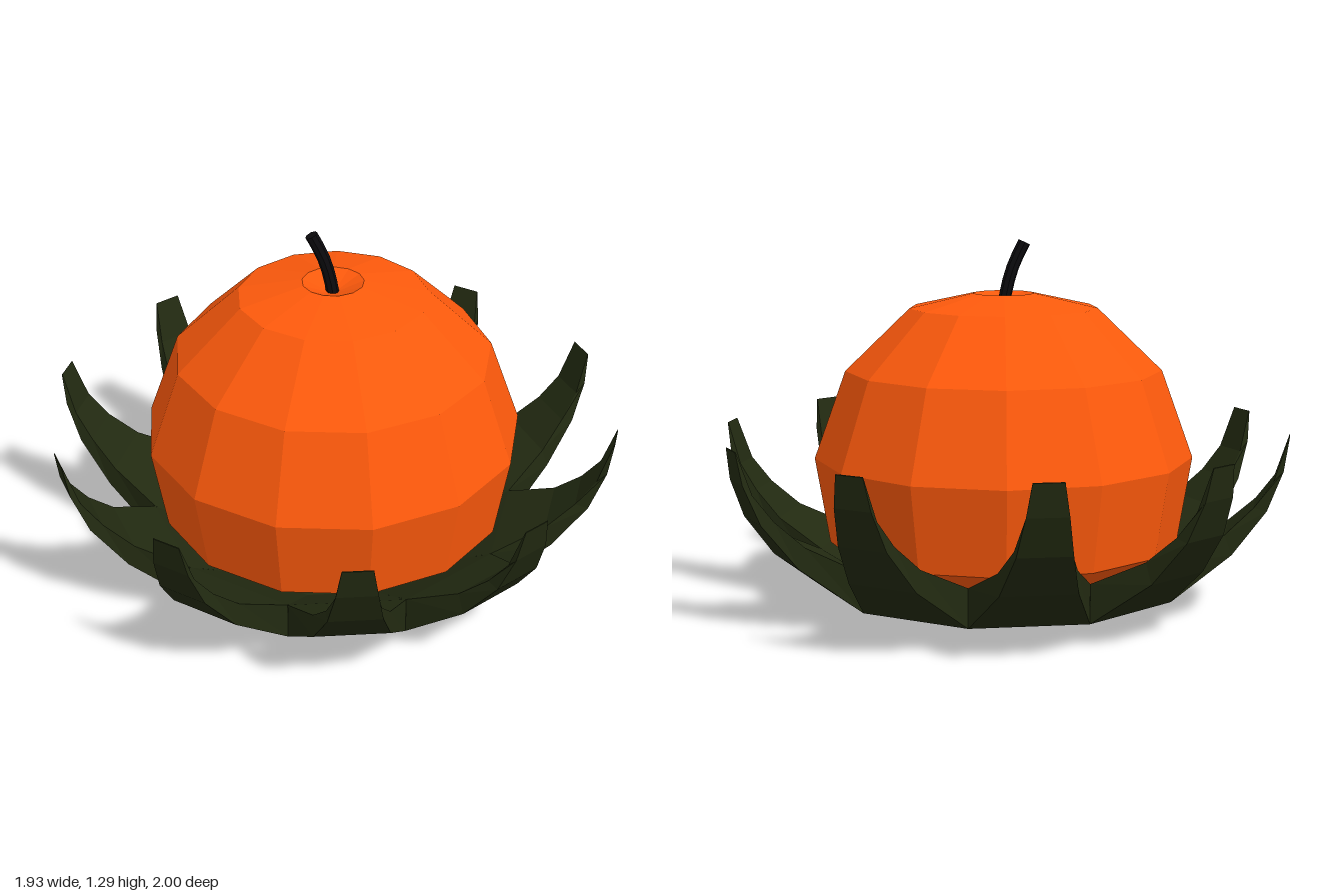
import * as THREE from 'three';

const material = (color) => new THREE.MeshStandardMaterial({
  color, flatShading: true, side: THREE.DoubleSide, roughness: 0.9,
});

// One sector of the leaf cup plus its curled leaf, pointing to +z.
// Each section: [halfWidth, outerZ, outerY, innerZ, innerY]
function leafGeometry() {
  const sections = [
    [0, 0, 0, 0, 0.04],
    [0.119, 0.366, 0, 0.366, 0.05],
    [0.2, 0.616, 0.07, 0.616, 0.205],
    [0.127, 0.815, 0.225, 0.79, 0.295],
    [0.09, 0.93, 0.375, 0.885, 0.385],
    [0.068, 0.983, 0.51, 0.95, 0.475],
    [0.05, 1, 0.62, 0.998, 0.622],
  ].map(([h, oz, oy, iz, iy]) => [[-h, oy, oz], [h, oy, oz], [h, iy, iz], [-h, iy, iz]]);

  const positions = [];
  const quad = (a, b, c, d) => positions.push(...a, ...b, ...c, ...a, ...c, ...d);
  for (let i = 0; i < sections.length - 1; i++) {
    const [p, q] = [sections[i], sections[i + 1]];
    for (let j = 0; j < 4; j++) {
      if (i < 2 && j % 2 === 1) continue; // sectors join here, so no side walls
      const k = (j + 1) % 4;
      quad(p[j], p[k], q[k], q[j]);
    }
  }
  quad(...sections[sections.length - 1]); // tip

  const geometry = new THREE.BufferGeometry();
  geometry.setAttribute('position', new THREE.Float32BufferAttribute(positions, 3));
  geometry.computeVertexNormals();
  return geometry;
}

export function createModel() {
  const model = new THREE.Group();
  model.name = 'pumpkinInLeaves';

  // Faceted fruit with a dimple at the top
  const profile = [
    [0, 0.06], [0.38, 0.08], [0.615, 0.23], [0.665, 0.53],
    [0.555, 0.835], [0.33, 1.05], [0.107, 1.1], [0, 1.055],
  ].map(([r, y]) => new THREE.Vector2(r, y));
  const fruit = new THREE.Mesh(
    new THREE.LatheGeometry(profile, 13, Math.PI / 2), material(0xff5a0c));
  fruit.name = 'fruit';
  model.add(fruit);

  // Bent stem with a capped end
  const stem = new THREE.Group();
  stem.name = 'stem';
  const stemMaterial = material(0x0c0b0e);
  const curve = new THREE.CatmullRomCurve3([
    new THREE.Vector3(0, 1.05, 0),
    new THREE.Vector3(-0.012, 1.12, 0),
    new THREE.Vector3(-0.036, 1.2, 0),
    new THREE.Vector3(-0.073, 1.277, 0),
  ]);
  const stalk = new THREE.Mesh(new THREE.TubeGeometry(curve, 5, 0.022, 8), stemMaterial);
  stalk.name = 'stalk';
  const cap = new THREE.Mesh(new THREE.CircleGeometry(0.022, 8), stemMaterial);
  cap.name = 'stemEnd';
  cap.position.copy(curve.getPoint(1));
  cap.lookAt(curve.getPoint(1).add(curve.getTangent(1)));
  stem.add(stalk, cap);
  model.add(stem);

  // Ring of ten leaves whose bases form the cup
  const leaves = new THREE.Group();
  leaves.name = 'leaves';
  const geometry = leafGeometry();
  const leafMaterial = material(0x222a11);
  for (let i = 0; i < 10; i++) {
    const leaf = new THREE.Mesh(geometry, leafMaterial);
    leaf.name = `leaf${i + 1}`;
    leaf.rotation.y = (i * Math.PI) / 5;
    leaves.add(leaf);
  }
  model.add(leaves);

  return model;
}
